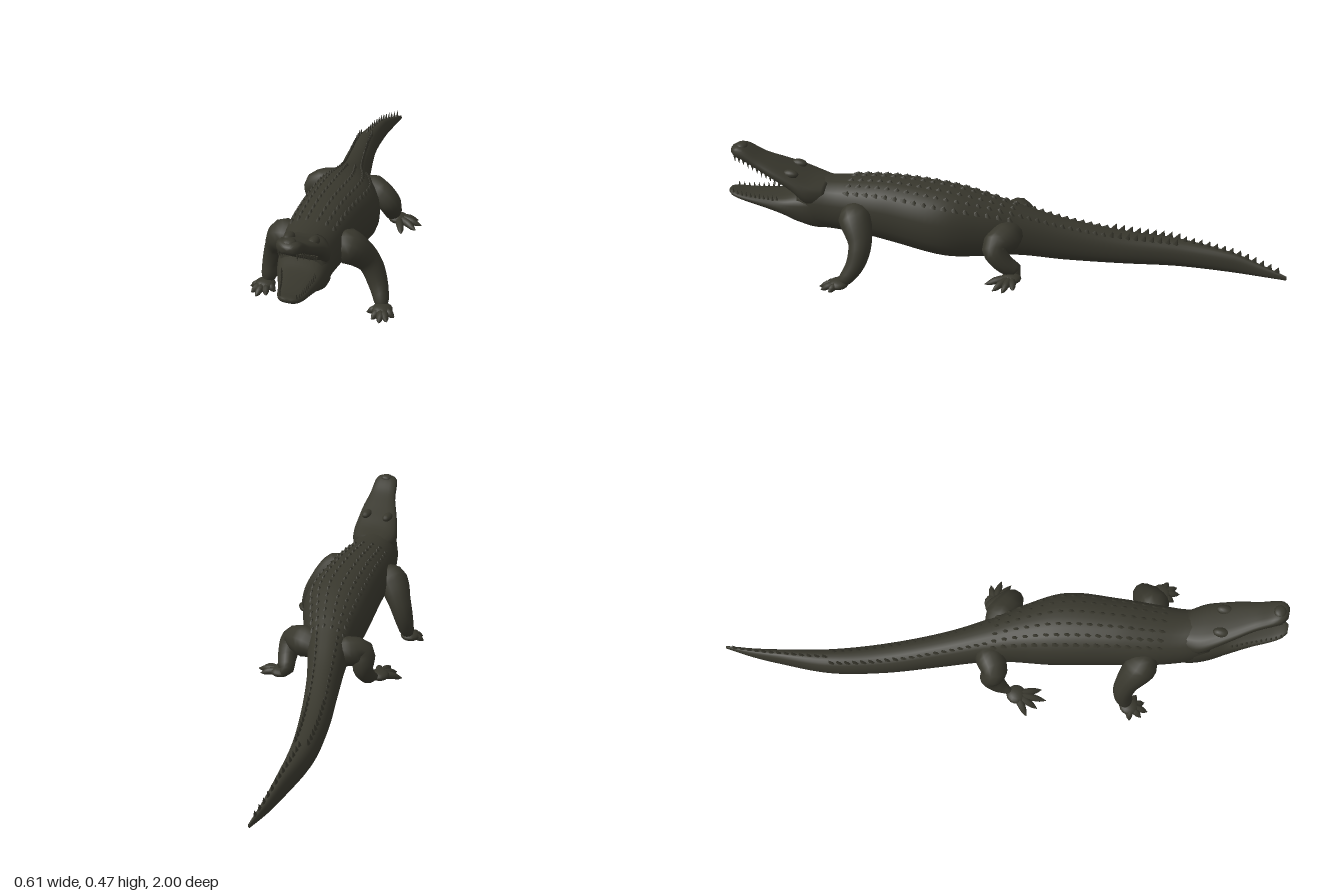
import * as THREE from 'three';
import { mergeGeometries, mergeVertices } from 'three/addons/utils/BufferGeometryUtils.js';

const hide = new THREE.MeshStandardMaterial({ color: 0x38372d });
hide.name = 'darkOliveHide';

// Stations run along z: [z, centre x, half width, top y, bottom y]
const BODY = [
  [-1, -0.25, 0.004, 0.03, 0.014], [-0.9, -0.257, 0.014, 0.06, 0.012], [-0.8, -0.258, 0.023, 0.09, 0.013],
  [-0.6, -0.245, 0.043, 0.12, 0.018], [-0.4, -0.2, 0.054, 0.145, 0.024], [-0.2, -0.14, 0.062, 0.195, 0.042],
  [-0.05, -0.09, 0.078, 0.25, 0.068], [0.05, -0.055, 0.1, 0.29, 0.072], [0.2, -0.015, 0.13, 0.333, 0.078],
  [0.4, 0.003, 0.119, 0.35, 0.112], [0.52, 0.012, 0.11, 0.344, 0.132], [0.62, 0.025, 0.098, 0.336, 0.14],
  [0.69, 0.04, 0.09, 0.338, 0.148], [0.74, 0.05, 0.075, 0.335, 0.175],
];
const UPPER = [
  [0.64, 0.035, 0.07, 0.332, 0.24], [0.7, 0.047, 0.09, 0.347, 0.25], [0.76, 0.06, 0.083, 0.372, 0.305],
  [0.82, 0.076, 0.07, 0.398, 0.345], [0.88, 0.09, 0.054, 0.426, 0.378], [0.94, 0.1, 0.046, 0.462, 0.412],
  [0.965, 0.104, 0.039, 0.464, 0.42], [0.982, 0.107, 0.02, 0.456, 0.43],
];
const LOWER = [
  [0.62, 0.025, 0.08, 0.27, 0.15], [0.68, 0.038, 0.092, 0.3, 0.15], [0.74, 0.051, 0.088, 0.29, 0.17],
  [0.8, 0.067, 0.076, 0.274, 0.203], [0.88, 0.087, 0.058, 0.272, 0.23], [0.95, 0.102, 0.045, 0.277, 0.25],
  [0.985, 0.109, 0.033, 0.284, 0.261], [1, 0.111, 0.018, 0.285, 0.27],
];

// Smooth station at any z
function at(st, z) {
  let i = 0;
  while (i < st.length - 2 && z > st[i + 1][0]) i++;
  const a = st[i], b = st[i + 1], p = st[i - 1] || a, q = st[i + 2] || b;
  const h = b[0] - a[0], t = (z - a[0]) / h, t2 = t * t, t3 = t2 * t;
  return a.map((v, k) => k === 0 ? z :
    (2 * t3 - 3 * t2 + 1) * v + (t3 - 2 * t2 + t) * h * (b[k] - p[k]) / (b[0] - p[0]) +
    (3 * t2 - 2 * t3) * b[k] + (t3 - t2) * h * (q[k] - v) / (q[0] - a[0]));
}

// Point on a rounded section
function surfacePoint(st, z, angle, e) {
  const [, x, w, top, bottom] = at(st, z);
  const c = Math.cos(angle), s = Math.sin(angle);
  return [x + w * Math.sign(c) * Math.abs(c) ** e,
    (top + bottom) / 2 + (top - bottom) / 2 * Math.sign(s) * Math.abs(s) ** e, z];
}

function loft(st, steps, sides, e) {
  const pos = [], idx = [], z0 = st[0][0], z1 = st[st.length - 1][0];
  for (let i = 0; i <= steps; i++)
    for (let j = 0; j < sides; j++)
      pos.push(...surfacePoint(st, z0 + (z1 - z0) * i / steps, j / sides * Math.PI * 2, e));
  for (let i = 0; i < steps; i++)
    for (let j = 0; j < sides; j++) {
      const k = (j + 1) % sides, a = i * sides + j, b = i * sides + k;
      idx.push(a, b, a + sides, b, b + sides, a + sides);
    }
  const first = pos.length / 3;
  for (const s of [st[0], st[st.length - 1]]) pos.push(s[1], (s[3] + s[4]) / 2, s[0]);
  for (let j = 0; j < sides; j++) {
    const k = (j + 1) % sides, o = steps * sides;
    idx.push(first, k, j, first + 1, o + j, o + k);
  }
  const g = new THREE.BufferGeometry();
  g.setAttribute('position', new THREE.Float32BufferAttribute(pos, 3));
  g.setIndex(idx);
  g.computeVertexNormals();
  return g;
}

// Tube with a varying radius; points are [x, y, z, radius]
function limb(points, segments = 20, sides = 12) {
  const curve = new THREE.CatmullRomCurve3(points.map(p => new THREE.Vector3(p[0], p[1], p[2])));
  let g = new THREE.TubeGeometry(curve, segments, 1, sides, false);
  const pos = g.attributes.position, v = new THREE.Vector3();
  for (let i = 0; i <= segments; i++) {
    const u = i / segments, c = curve.getPointAt(u);
    const f = curve.getUtoTmapping(u) * (points.length - 1), k = Math.min(Math.floor(f), points.length - 2);
    const r = THREE.MathUtils.lerp(points[k][3], points[k + 1][3], f - k);
    for (let j = 0; j <= sides; j++) {
      const n = i * (sides + 1) + j;
      v.fromBufferAttribute(pos, n).sub(c).multiplyScalar(r).add(c);
      pos.setXYZ(n, v.x, v.y, v.z);
    }
  }
  g.deleteAttribute('uv');
  g.deleteAttribute('normal');
  g = mergeVertices(g, 1e-5);
  g.computeVertexNormals();
  return g;
}

// Small pointed scale or tooth, pointing up or down
function spike(x, y, z, width, height, length, lean = 0) {
  const g = new THREE.ConeGeometry(0.5, 1, 6);
  g.scale(width, Math.abs(height), length);
  if (height < 0) g.rotateX(Math.PI);
  return g.rotateX(lean).translate(x, y, z);
}

export function createModel() {
  const model = new THREE.Group();
  model.name = 'crocodile';
  const add = (name, geometry, parent = model) => {
    const m = new THREE.Mesh(geometry, hide);
    m.name = name;
    parent.add(m);
    return m;
  };

  add('bodyAndTail', loft(BODY, 72, 24, 0.9));
  add('upperJaw', loft(UPPER, 28, 20, 0.75));
  add('lowerJaw', loft(LOWER, 28, 20, 0.75));

  // Brows and nostril mound
  for (const s of [-1, 1]) {
    add(s > 0 ? 'leftBrow' : 'rightBrow',
      new THREE.SphereGeometry(1, 14, 10).scale(0.018, 0.016, 0.03).translate(0.063 + s * 0.043, 0.37, 0.765));
  }
  add('nostrils', new THREE.SphereGeometry(1, 14, 8).scale(0.024, 0.012, 0.022).translate(0.102, 0.458, 0.95));

  // Teeth along both jaws
  const teeth = [];
  for (let i = 0; i < 11; i++)
    for (const s of [-1, 1]) {
      const zu = 0.8 + i * 0.0165, u = at(UPPER, zu), zl = 0.815 + i * 0.0165, l = at(LOWER, zl);
      const h = 0.018 + 0.007 * (i % 3 === 1);
      teeth.push(spike(u[1] + s * u[2] * 0.8, u[4] - 0.003, zu, 0.009, -h, 0.01));
      teeth.push(spike(l[1] + s * l[2] * 0.8, l[3] + 0.003, zl, 0.009, h, 0.01));
    }
  add('teeth', mergeGeometries(teeth));

  // Low ridged scales in rows over the back
  const scales = [];
  for (let i = 0; i < 17; i++)
    for (const a of [-0.75, -0.45, -0.15, 0.15, 0.45, 0.75]) {
      const z = -0.02 + i * 0.036, p = surfacePoint(BODY, z, Math.PI / 2 + a, 0.9);
      scales.push(spike(p[0], p[1] + 0.001, z, 0.018, 0.016, 0.036, -0.25));
    }
  // Paired crests that join into one towards the tail tip
  for (let i = 0; i < 33; i++) {
    const z = -0.965 + i * 0.0285, single = z < -0.62;
    for (const a of single ? [0] : [-0.5, 0.5]) {
      const p = surfacePoint(BODY, z, Math.PI / 2 + a, 0.9);
      const h = z > -0.35 ? 0.016 : 0.032;
      scales.push(spike(p[0], p[1] + h * 0.25, z, 0.011, h, 0.03, -0.3));
    }
  }
  add('backScales', mergeGeometries(scales));

  // Leg, flattened palm and clawed toes; tips are toe ends [x, y, z]
  function leg(name, points, palm, tips) {
    const g = new THREE.Group();
    g.name = name;
    model.add(g);
    add('limb', limb(points), g);
    add('palm', new THREE.SphereGeometry(1, 14, 10).scale(0.036, 0.018, 0.036).translate(...palm), g);
    const toes = tips.map(t => {
      const mid = palm.map((v, k) => v + (t[k] - v) * 0.6);
      mid[1] += 0.004;
      return limb([[...palm, 0.016], [...mid, 0.013], [...palm.map((v, k) => v + (t[k] - v) * 0.82), 0.009], [...t, 0.001]], 10, 8);
    });
    add('toes', mergeGeometries(toes), g);
  }

  leg('leftFrontLeg',
    [[0.06, 0.245, 0.54, 0.03], [0.125, 0.235, 0.515, 0.062], [0.185, 0.17, 0.478, 0.042],
      [0.22, 0.1, 0.487, 0.034], [0.247, 0.045, 0.522, 0.024], [0.255, 0.03, 0.54, 0.006]],
    [0.255, 0.034, 0.54],
    [[0.205, 0.022, 0.555], [0.235, 0.018, 0.592], [0.268, 0.019, 0.608], [0.292, 0.021, 0.595], [0.306, 0.023, 0.56]]);

  leg('rightFrontLeg',
    [[-0.04, 0.245, 0.53, 0.03], [-0.105, 0.23, 0.51, 0.062], [-0.155, 0.165, 0.472, 0.043],
      [-0.178, 0.1, 0.465, 0.035], [-0.187, 0.04, 0.482, 0.026], [-0.19, 0.025, 0.495, 0.006]],
    [-0.193, 0.021, 0.495],
    [[-0.146, 0.008, 0.515], [-0.168, 0.005, 0.548], [-0.2, 0.004, 0.565], [-0.226, 0.005, 0.545], [-0.245, 0.006, 0.505]]);

  leg('leftHindLeg',
    [[-0.06, 0.17, -0.03, 0.04], [0.01, 0.18, -0.015, 0.058], [0.073, 0.165, 0.01, 0.044],
      [0.078, 0.115, -0.025, 0.036], [0.066, 0.075, -0.07, 0.027], [0.085, 0.062, -0.07, 0.006]],
    [0.09, 0.064, -0.06],
    [[0.158, 0.055, -0.085], [0.182, 0.053, -0.05], [0.174, 0.05, -0.012], [0.133, 0.048, 0.028]]);

  leg('rightHindLeg',
    [[-0.1, 0.17, -0.04, 0.04], [-0.16, 0.18, -0.025, 0.055], [-0.205, 0.175, 0.0, 0.046],
      [-0.215, 0.12, -0.015, 0.037], [-0.222, 0.075, 0.02, 0.029], [-0.235, 0.052, 0.07, 0.008]],
    [-0.238, 0.052, 0.085],
    [[-0.306, 0.03, 0.135], [-0.272, 0.034, 0.168], [-0.237, 0.037, 0.195], [-0.2, 0.04, 0.172]]);

  return model;
}
